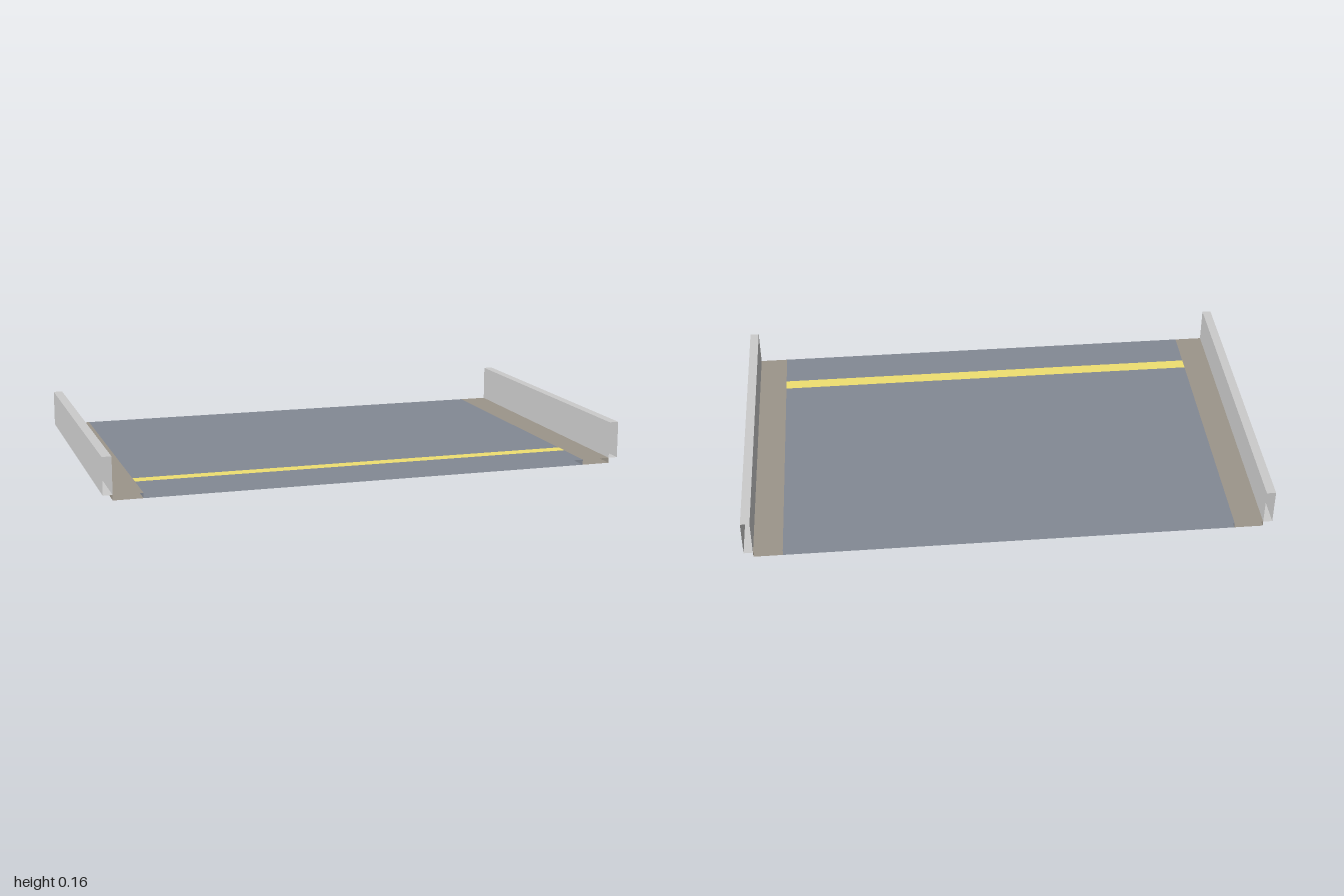
import * as THREE from 'three';

const LENGTH = 1.245; // along z
const DECK_H = 0.02;

const paint = (color) => new THREE.MeshStandardMaterial({ color, side: THREE.DoubleSide });

// Box sleeve along z, open at both ends so that sections can be joined
function sleeve(name, x0, x1, y0, y1, material) {
  const geometry = new THREE.BoxGeometry(x1 - x0, y1 - y0, LENGTH);
  // keep the four side faces, drop the two end caps
  geometry.setIndex(Array.from(geometry.index.array).slice(0, 24));
  geometry.clearGroups();
  const mesh = new THREE.Mesh(geometry, material);
  mesh.name = name;
  mesh.position.set((x0 + x1) / 2, (y0 + y1) / 2, 0);
  return mesh;
}

export function createModel() {
  const group = new THREE.Group();
  group.name = 'roadSection';
  const deckPaint = paint(0x838994);
  const edgePaint = paint(0x9c958a);
  const wallPaint = paint(0xcccccc);

  // Middle deck
  group.add(sleeve('deck', -0.855, 0.855, 0, DECK_H, deckPaint));

  // Edge strips and side walls, mirrored
  for (const [side, s] of [['left', 1], ['right', -1]]) {
    const span = (a, b) => (s > 0 ? [a, b] : [-b, -a]);
    group.add(sleeve(side + 'EdgeStrip', ...span(0.855, 0.965), 0, DECK_H, edgePaint));
    group.add(sleeve(side + 'Wall', ...span(0.965, 1), DECK_H, 0.16, wallPaint));
  }

  // Yellow line painted across the deck
  const stripe = new THREE.Mesh(new THREE.PlaneGeometry(1.71, 0.052), paint(0xf0e070));
  stripe.name = 'crossLine';
  stripe.rotation.x = -Math.PI / 2;
  stripe.position.set(0, DECK_H + 0.001, 0.433);
  group.add(stripe);

  return group;
}
